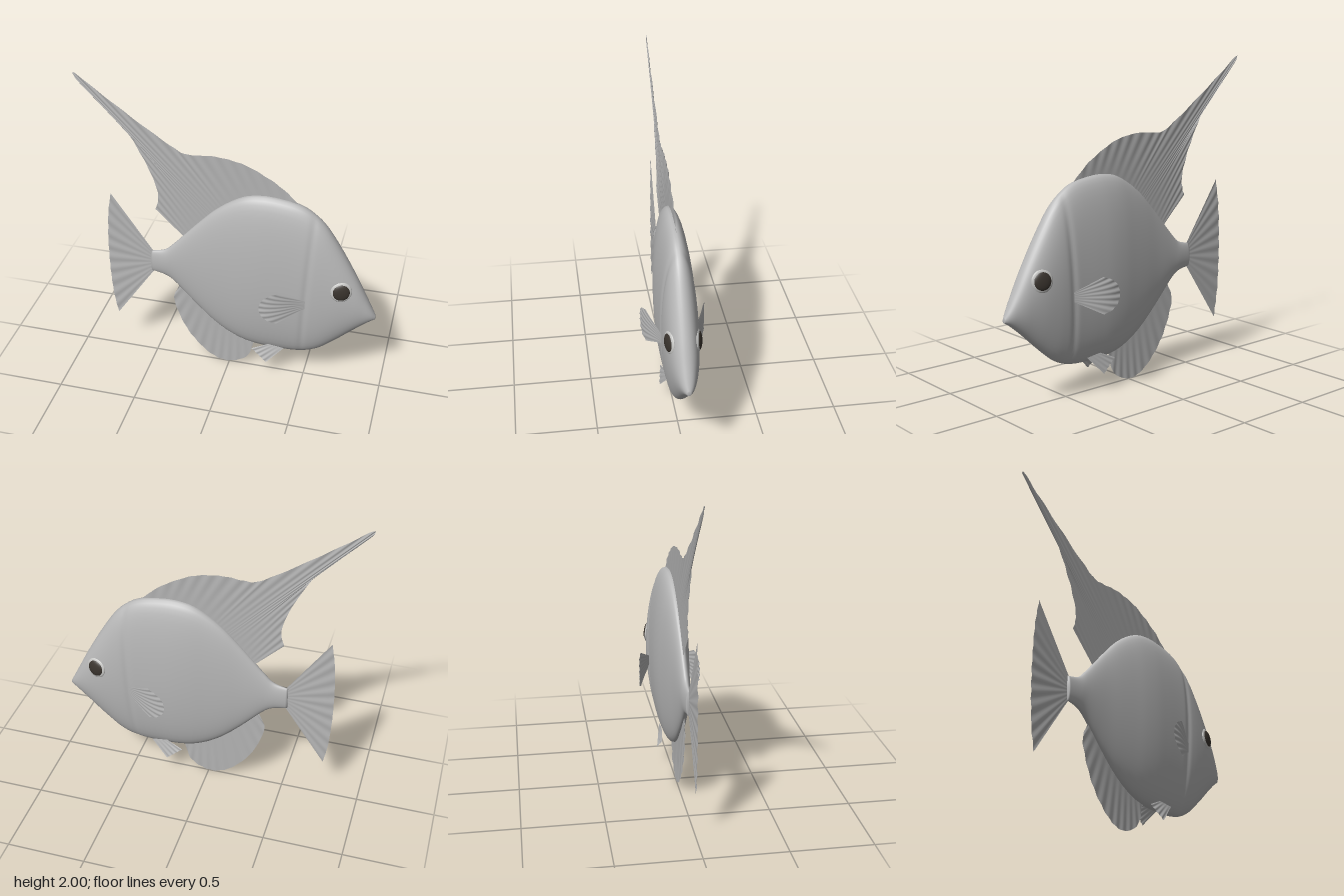
import * as THREE from 'three';

const skin = new THREE.MeshStandardMaterial({ color: 0xb8b8b8 });
skin.name = 'grey skin';
const finSkin = new THREE.MeshStandardMaterial({ color: 0xb4b4b4, side: THREE.DoubleSide });
finSkin.name = 'grey fin';
const eyeDark = new THREE.MeshStandardMaterial({ color: 0x3a342e });
eyeDark.name = 'dark eye';
const eyeRim = new THREE.MeshStandardMaterial({ color: 0xc6c6c4 });
eyeRim.name = 'pale eye rim';

const curve = (pts) => new THREE.CatmullRomCurve3(pts, false, 'catmullrom', 0.5);
const mesh = (name, geometry, material) => {
  const m = new THREE.Mesh(geometry, material);
  m.name = name;
  return m;
};

// Grid of points fn(i, j) turned into a smooth surface
function grid(nu, nv, closed, fn) {
  const pos = [], idx = [], cols = closed ? nv : nv + 1;
  for (let i = 0; i <= nu; i++) for (let j = 0; j < cols; j++) pos.push(...fn(i, j));
  for (let i = 0; i < nu; i++) for (let j = 0; j < nv; j++) {
    const a = i * cols + j, b = i * cols + (j + 1) % cols;
    idx.push(a, b, a + cols, b, b + cols, a + cols);
  }
  const g = new THREE.BufferGeometry();
  g.setAttribute('position', new THREE.Float32BufferAttribute(pos, 3));
  g.setIndex(idx);
  g.computeVertexNormals();
  return g;
}

// Body stations: x, top y, bottom y, half width
const STATIONS = [
  [-0.51, 0.81, 0.66, 0.018], [-0.42, 0.835, 0.64, 0.028], [-0.36, 0.89, 0.6, 0.034],
  [-0.28, 0.98, 0.515, 0.044], [-0.2, 1.07, 0.43, 0.055], [-0.1, 1.175, 0.335, 0.071],
  [0, 1.255, 0.265, 0.086], [0.1, 1.31, 0.22, 0.1], [0.2, 1.33, 0.2, 0.108],
  [0.3, 1.327, 0.195, 0.109], [0.42, 1.305, 0.196, 0.107], [0.51, 1.26, 0.212, 0.106],
  [0.6, 1.175, 0.255, 0.105], [0.7, 1.02, 0.34, 0.096], [0.8, 0.84, 0.435, 0.076],
  [0.87, 0.7, 0.497, 0.052], [0.91, 0.62, 0.528, 0.032], [0.935, 0.57, 0.543, 0.012],
];

function bodyGeometry() {
  const outline = curve(STATIONS.map(([x, t, b]) => new THREE.Vector3(x, t, b)));
  const widths = curve(STATIONS.map(([x, , , w]) => new THREE.Vector3(x, w, 0)));
  const n = 140, sides = 48;
  return grid(n + 2, sides, true, (i, j) => {
    const t = THREE.MathUtils.clamp((i - 1) / n, 0, 1);
    const size = i === 0 || i === n + 2 ? 0 : 1; // closed ends
    const { x, y: top, z: bottom } = outline.getPoint(t);
    const a = (j / sides) * Math.PI * 2, c = Math.cos(a), s = Math.sin(a);
    const y = (top + bottom) / 2 + c * size * (top - bottom) / 2;
    // gill groove
    const d = (x - 0.5 - 0.05 * (y - 0.6)) / 0.02;
    const groove = 1 - 0.07 * Math.exp(-d * d);
    const z = Math.sign(s) * Math.abs(s) ** 0.92 * widths.getPoint(t).y * size * groove;
    return [x, y, z];
  });
}

// Fin ruled between root and edge; rows are [rootX, rootY, edgeX, edgeY]
function finGeometry(rows, rays, bend = () => 0) {
  const make = (k) => new THREE.CatmullRomCurve3(rows.map((r) => new THREE.Vector3(r[k], r[k + 1], 0)), false, 'centripetal');
  const root = make(0), edge = make(2), nu = rays * 6, nv = 8;
  return grid(nu, nv, false, (i, j) => {
    const p = root.getPoint(i / nu).lerp(edge.getPoint(i / nu), j / nv);
    const ripple = 0.0025 * Math.sin((i / nu) * rays * Math.PI * 2) * (j / nv);
    return [p.x, p.y, bend(p.x, p.y) + ripple];
  });
}

const DORSAL = [
  [0.4, 1.29, 0.42, 1.308], [0.34, 1.3, 0.32, 1.4], [0.27, 1.3, 0.21, 1.47],
  [0.2, 1.3, 0.1, 1.523], [0.13, 1.28, 0, 1.547], [0.07, 1.26, -0.1, 1.556],
  [0.02, 1.23, -0.2, 1.548], [-0.02, 1.2, -0.28, 1.55], [-0.04, 1.18, -0.38, 1.605],
  [-0.06, 1.16, -0.6, 1.755], [-0.08, 1.14, -0.8, 1.9], [-0.09, 1.12, -0.94, 2],
  [-0.1, 1.11, -0.938, 1.98], [-0.12, 1.09, -0.8, 1.832], [-0.15, 1.07, -0.63, 1.65],
  [-0.19, 1.04, -0.55, 1.51], [-0.22, 1.01, -0.49, 1.38], [-0.25, 0.98, -0.452, 1.25],
  [-0.27, 0.96, -0.455, 1.18], [-0.29, 0.95, -0.472, 1.13],
];
const TAIL = [
  [-0.49, 0.8, -0.76, 1.2], [-0.49, 0.78, -0.783, 1.06], [-0.49, 0.755, -0.795, 0.89],
  [-0.49, 0.735, -0.798, 0.735], [-0.49, 0.715, -0.795, 0.58], [-0.49, 0.69, -0.783, 0.41],
  [-0.49, 0.67, -0.76, 0.27],
];
const ANAL = [
  [-0.33, 0.59, -0.335, 0.56], [-0.3, 0.57, -0.37, 0.47], [-0.25, 0.52, -0.34, 0.34],
  [-0.19, 0.46, -0.28, 0.21], [-0.13, 0.4, -0.2, 0.105], [-0.07, 0.35, -0.11, 0.03],
  [-0.01, 0.31, -0.03, 0.004], [0.05, 0.27, 0.05, 0.02], [0.1, 0.25, 0.125, 0.075],
  [0.17, 0.23, 0.165, 0.2],
];
const PECTORAL = [
  [0.505, 0.67, 0.345, 0.752], [0.505, 0.662, 0.29, 0.73], [0.505, 0.652, 0.25, 0.692],
  [0.505, 0.642, 0.236, 0.645], [0.505, 0.632, 0.242, 0.598], [0.505, 0.622, 0.275, 0.555],
  [0.505, 0.612, 0.34, 0.522],
];
const PELVIC = [
  [0.27, 0.243, 0.165, 0.195], [0.32, 0.238, 0.215, 0.155], [0.375, 0.232, 0.265, 0.115],
];

function eye() {
  const g = new THREE.Group();
  const rim = mesh('eyeRim', new THREE.SphereGeometry(0.067, 32, 16), eyeRim);
  rim.scale.set(1, 1.03, 0.24);
  const pupil = mesh('pupil', new THREE.SphereGeometry(0.054, 32, 16), eyeDark);
  pupil.scale.set(1, 1.03, 0.3);
  pupil.position.z = 0.006;
  g.add(rim, pupil);
  g.position.set(0.722, 0.77, 0.083);
  g.rotation.set(-0.1, 0.26, 0);
  return g;
}

export function createModel() {
  const fish = new THREE.Group();
  fish.name = 'fish';
  fish.add(
    mesh('body', bodyGeometry(), skin),
    mesh('dorsalFin', finGeometry(DORSAL, 22), finSkin),
    mesh('tailFin', finGeometry(TAIL, 10), finSkin),
    mesh('analFin', finGeometry(ANAL, 12), finSkin),
  );

  // Paired parts, mirrored across the body
  const pectoralBend = (x) => 0.1 + 0.096 * Math.sin(Math.min(1, (0.505 - x) / 0.27) * Math.PI / 2) ** 1.2;
  const pelvicBend = (x, y) => 0.05 + (0.243 - y) * 0.25;
  for (const side of [1, -1]) {
    const half = new THREE.Group();
    half.name = side > 0 ? 'nearSide' : 'farSide';
    const e = eye();
    e.name = 'eye';
    half.add(
      e,
      mesh('pectoralFin', finGeometry(PECTORAL, 7, pectoralBend), finSkin),
      mesh('pelvicFin', finGeometry(PELVIC, 4, pelvicBend), finSkin),
    );
    half.scale.z = side;
    fish.add(half);
  }
  return fish;
}
